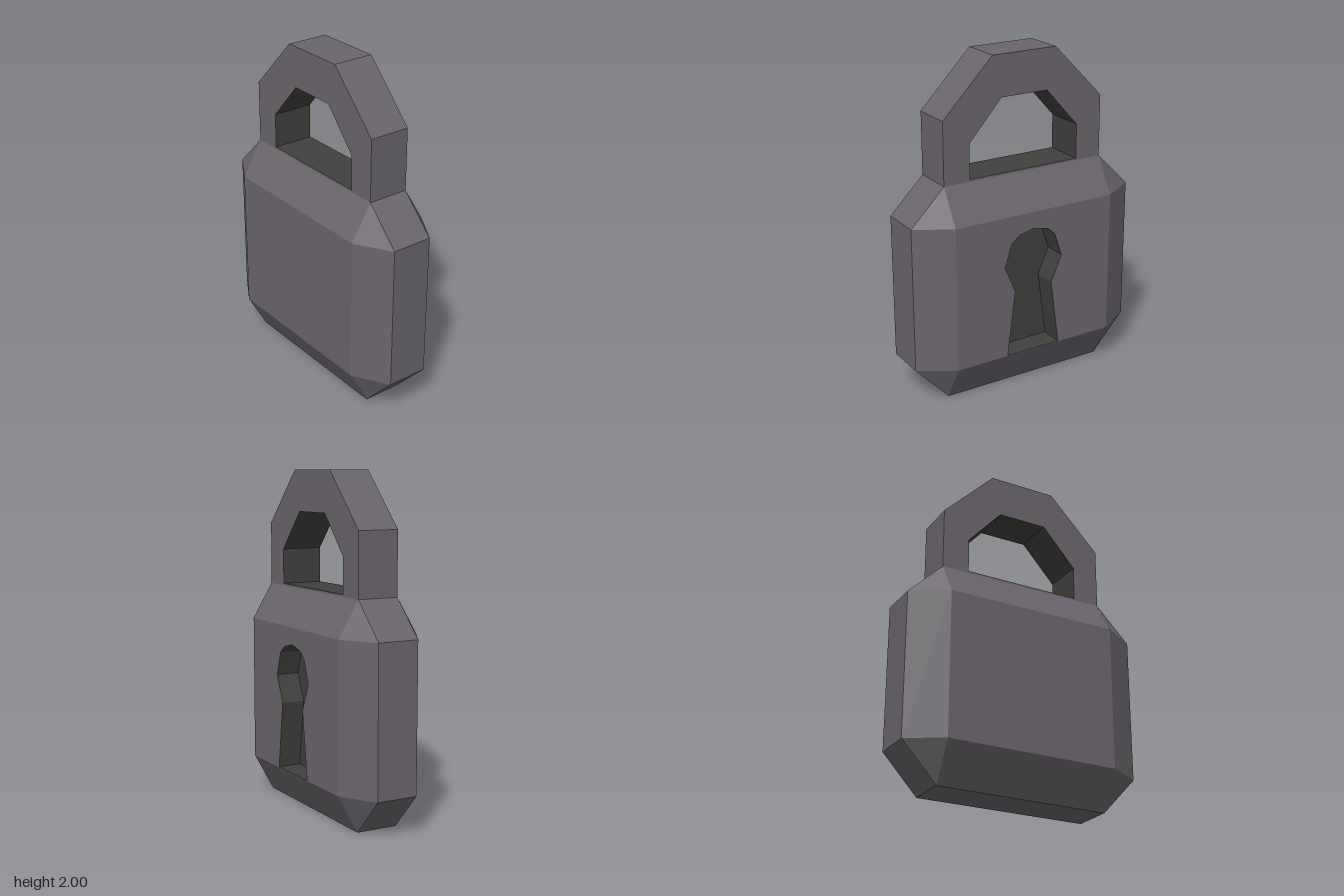
import * as THREE from 'three';
import { ConvexGeometry } from 'three/addons/geometries/ConvexGeometry.js';

// Worked out in a local frame: x along the lock's width, z through its thickness.
const metal = new THREE.MeshStandardMaterial({ color: 0x6a656c, flatShading: true });
const dark = new THREE.MeshStandardMaterial({ color: 0x40403e, flatShading: true });

const BODY = { bottom: 0, low: 0.226, high: 1.096, top: 1.305 };
const HALF = { wide: 0.733, narrow: 0.523, thick: 0.25, thin: 0.125 };

const toPoints = (list) => list.map(([x, y]) => new THREE.Vector2(x, y));

function makeMesh(name, geometry, material) {
  const mesh = new THREE.Mesh(geometry, material);
  mesh.name = name;
  return mesh;
}

function fromPositions(positions) {
  const geometry = new THREE.BufferGeometry();
  geometry.setAttribute('position', new THREE.Float32BufferAttribute(positions, 3));
  geometry.computeVertexNormals();
  return geometry;
}

// Flat plate at depth z, optionally pierced and optionally facing backwards
function plate(outline, hole, z, backwards = false) {
  const shape = new THREE.Shape(outline);
  if (hole) shape.holes.push(new THREE.Path(hole));
  const geometry = new THREE.ShapeGeometry(shape);
  if (backwards) {
    geometry.index.array.reverse();
    geometry.deleteAttribute('normal');
    geometry.computeVertexNormals();
  }
  return geometry.translate(0, 0, z);
}

// Wall swept through the thickness along a counter-clockwise outline
function wall(outline, z0, z1, inward) {
  const positions = [];
  outline.forEach((p, i) => {
    const q = outline[(i + 1) % outline.length];
    const [a, b] = inward ? [q, p] : [p, q];
    positions.push(a.x, a.y, z0, b.x, b.y, z0, b.x, b.y, z1);
    positions.push(a.x, a.y, z0, b.x, b.y, z1, a.x, a.y, z1);
  });
  return fromPositions(positions);
}

// Chamfered block, left open on its keyhole side
function bodyShell() {
  const corners = [];
  const addBox = (x, y0, y1, z) => {
    for (const sx of [-x, x]) for (const y of [y0, y1]) for (const sz of [-z, z])
      corners.push(new THREE.Vector3(sx, y, sz));
  };
  addBox(HALF.narrow, BODY.low, BODY.high, HALF.thick);
  addBox(HALF.narrow, BODY.bottom, BODY.top, HALF.thin);
  addBox(HALF.wide, BODY.low, BODY.high, HALF.thin);

  const source = new ConvexGeometry(corners).getAttribute('position');
  const kept = [];
  for (let i = 0; i < source.count; i += 3) {
    const onFace = [0, 1, 2].every((k) => source.getZ(i + k) > HALF.thick - 1e-4);
    if (onFace) continue;
    for (let k = 0; k < 3; k++) kept.push(source.getX(i + k), source.getY(i + k), source.getZ(i + k));
  }
  return fromPositions(kept);
}

export function createModel() {
  const model = new THREE.Group();
  model.name = 'padlock';

  // Body with its pierced side face
  const keyhole = toPoints([
    [-0.19, 0.23], [0.164, 0.23], [0.11, 0.63], [0.18, 0.79], [0.132, 0.93], [0.085, 0.973],
    [-0.014, 0.995], [-0.11, 0.973], [-0.162, 0.93], [-0.206, 0.79], [-0.138, 0.63],
  ]);
  const face = toPoints([
    [-HALF.narrow, BODY.low], [HALF.narrow, BODY.low], [HALF.narrow, BODY.high], [-HALF.narrow, BODY.high],
  ]);
  const body = new THREE.Group();
  body.name = 'body';
  body.add(
    makeMesh('bodyShell', bodyShell(), metal),
    makeMesh('keyholeFace', plate(face, keyhole, HALF.thick), metal),
  );

  // Keyhole recess
  const recess = new THREE.Group();
  recess.name = 'keyhole';
  const floorZ = HALF.thick - 0.14;
  recess.add(
    makeMesh('keyholeWall', wall(keyhole, floorZ, HALF.thick, true), dark),
    makeMesh('keyholeFloor', plate(keyhole, null, floorZ), dark),
  );

  // Angular shackle with a dark inner lining
  const outer = toPoints([
    [-0.523, 1.3], [0.523, 1.3], [0.523, 1.677], [0.207, 2], [-0.207, 2], [-0.523, 1.677],
  ]);
  const inner = toPoints([
    [-0.358, 1.317], [0.358, 1.317], [0.358, 1.525], [0.15, 1.757], [-0.15, 1.757], [-0.358, 1.525],
  ]);
  const t = HALF.thin;
  const shackle = new THREE.Group();
  shackle.name = 'shackle';
  shackle.add(
    makeMesh('shackleSide', plate(outer, inner, t), metal),
    makeMesh('shackleOtherSide', plate(outer, inner, -t, true), metal),
    makeMesh('shackleOutside', wall(outer, -t, t, false), metal),
    makeMesh('shackleInside', wall(inner, -t, t, true), dark),
  );

  // Turn the keyhole side towards +x
  const lock = new THREE.Group();
  lock.name = 'lock';
  lock.rotation.y = Math.PI / 2;
  lock.add(body, recess, shackle);
  model.add(lock);
  return model;
}
